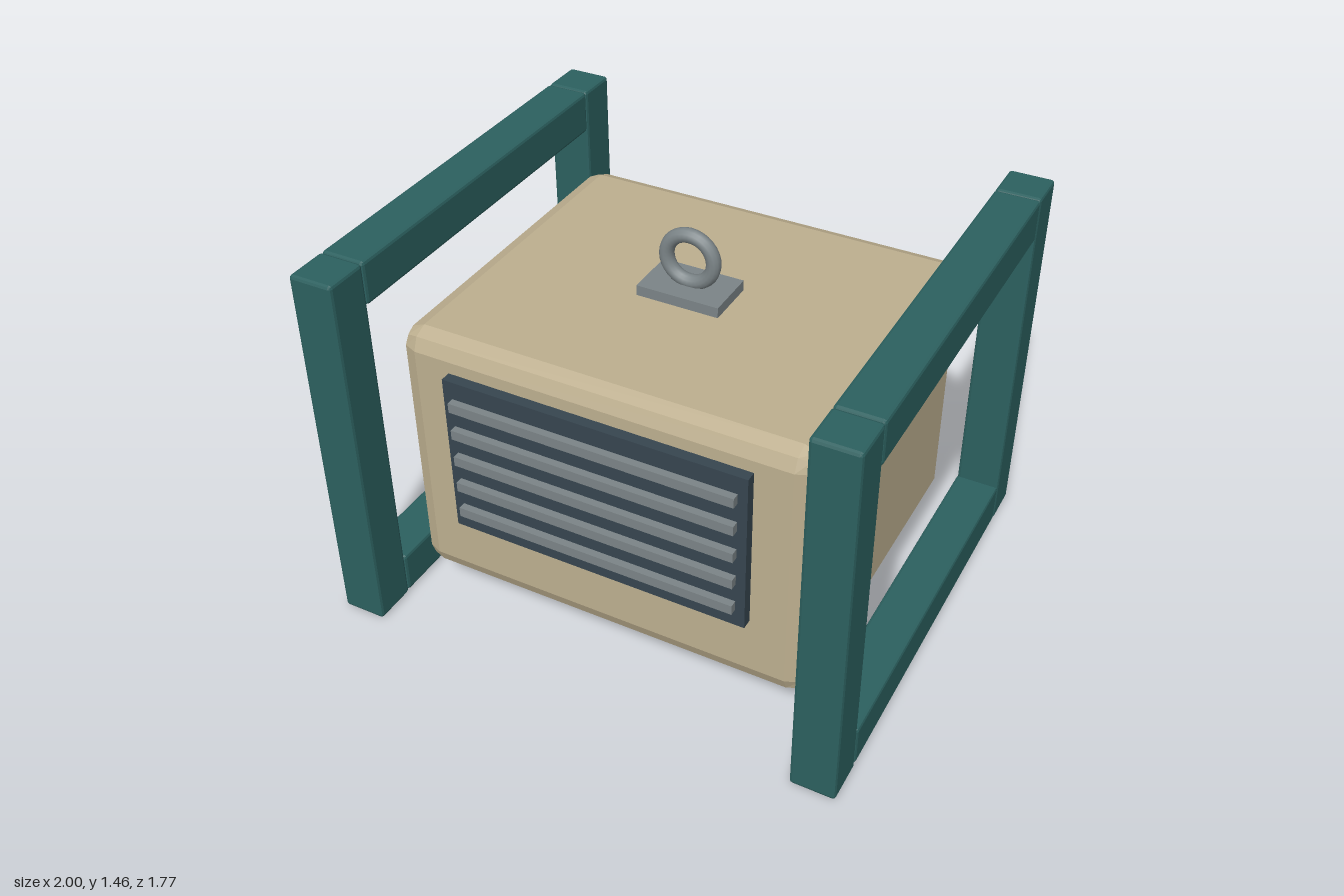
import * as THREE from 'three';
import { RoundedBoxGeometry } from 'three/addons/geometries/RoundedBoxGeometry.js';

function material(name, color) {
  const m = new THREE.MeshStandardMaterial({ color });
  m.name = name;
  return m;
}

export function createModel() {
  const teal = material('teal frame', 0x2c605f);
  const sand = material('sand housing', 0xbdaf8f);
  const slate = material('dark slate', 0x36454f);
  const steel = material('grey steel', 0x7b8487);
  const rust = material('rust red', 0xb85c45);

  const model = new THREE.Group();
  model.name = 'framedPowerUnit';

  function add(name, geometry, mat, x, y, z) {
    const mesh = new THREE.Mesh(geometry, mat);
    mesh.name = name;
    mesh.position.set(x, y, z);
    model.add(mesh);
    return mesh;
  }

  // Box with flat two-facet bevels
  function bevelBox(w, h, d, r) {
    const g = new RoundedBoxGeometry(w, h, d, 1, r);
    g.computeVertexNormals();
    return g;
  }

  // Housing
  add('housing', bevelBox(1.55, 1.045, 1.325, 0.07), sand, 0, 0.667, 0);

  // Side frames: two posts joined by a lower and an upper rail
  const post = bevelBox(0.168, 1.46, 0.168, 0.012);
  const rail = bevelBox(0.168, 0.165, 1.43, 0.012);
  for (const [side, sx] of [['left', 1], ['right', -1]]) {
    const x = sx * 0.916;
    add(side + 'FrontPost', post, teal, x, 0.73, 0.799);
    add(side + 'BackPost', post, teal, x, 0.73, -0.799);
    add(side + 'LowerRail', rail, teal, x, 0.0875, 0);
    add(side + 'UpperRail', rail, teal, x, 1.3775, 0);
  }

  // Front grille with five slats
  add('grillePanel', new THREE.BoxGeometry(1.14, 0.635, 0.04), slate, 0, 0.757, 0.683);
  const slat = new THREE.BoxGeometry(1.07, 0.038, 0.03);
  for (let i = 0; i < 5; i++) {
    add('grilleSlat' + (i + 1), slat, steel, 0, 0.528 + i * 0.1145, 0.716);
  }

  // Access panel on the right side
  add('accessPanel', bevelBox(0.035, 0.66, 0.86, 0.006), rust, -0.793, 0.71, 0);

  // Lifting eye on its base plate
  add('liftingPlate', new THREE.BoxGeometry(0.316, 0.042, 0.2), steel, 0, 1.208, 0);
  add('liftingRing', new THREE.TorusGeometry(0.091, 0.027, 12, 32), steel, 0, 1.328, 0);

  return model;
}
